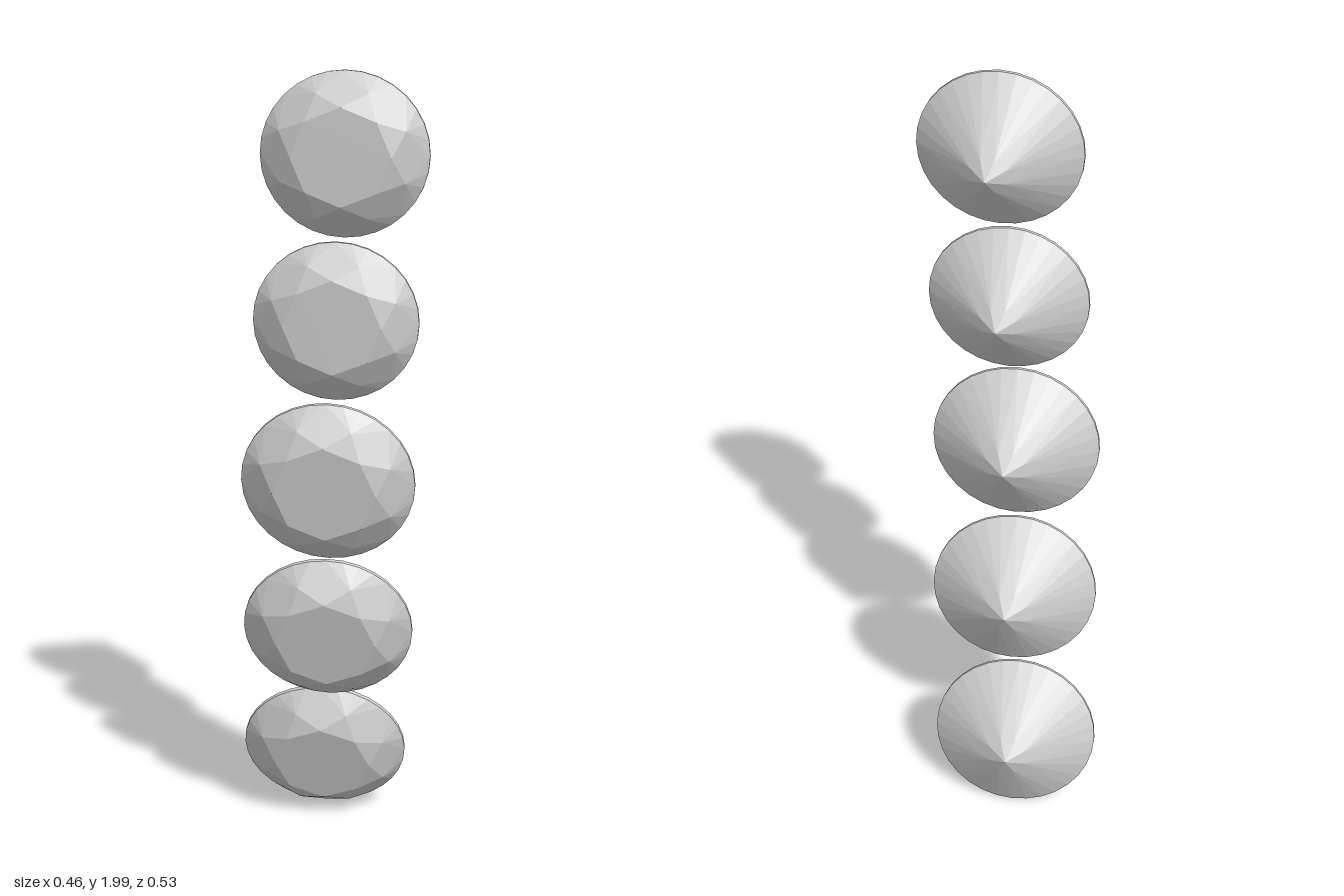
import * as THREE from 'three';
import { ConvexGeometry } from 'three/addons/geometries/ConvexGeometry.js';

// Brilliant cut of unit girdle radius, table towards +z, point towards -z
function brilliantCut() {
  const points = [];
  const ring = (count, radius, z, turn = 0) => {
    for (let i = 0; i < count; i++) {
      const a = ((i + turn) / count) * Math.PI * 2;
      points.push(new THREE.Vector3(Math.cos(a) * radius, Math.sin(a) * radius, z));
    }
  };
  const table = 0.59, crown = 0.38, girdle = 0.025, pavilion = 0.92;
  const c = Math.cos(Math.PI / 8);
  // Heights that keep the kite-shaped main facets flat
  const starR = 0.8, lowerR = 0.22;
  const starZ = girdle + ((crown - girdle) * (1 - starR * c)) / (1 - table);
  const lowerZ = -girdle - (pavilion - girdle) * (1 - lowerR * c);
  ring(8, table, crown);
  ring(8, starR, starZ, 0.5);
  ring(32, 1, girdle);
  ring(32, 1, -girdle);
  ring(8, lowerR, lowerZ, 0.5);
  points.push(new THREE.Vector3(0, 0, -pavilion));
  return new ConvexGeometry(points);
}

export function createModel() {
  const group = new THREE.Group();
  group.name = 'gemChain';
  const geometry = brilliantCut();
  const material = new THREE.MeshStandardMaterial({ color: 0xcccccc, flatShading: true });

  // Girdle centre, point of the pavilion, girdle radius; top to bottom
  const gems = [
    [[-0.033, 1.81, 0.138], [0.07, 1.81, 0.0], 0.189],
    [[-0.047, 1.42, 0.122], [0.055, 1.425, -0.017], 0.19],
    [[-0.05, 1.015, 0.087], [0.06, 1.04, -0.065], 0.206],
    [[-0.01, 0.598, 0.012], [0.095, 0.645, -0.145], 0.208],
    [[0.046, 0.203, -0.112], [0.15, 0.265, -0.265], 0.208],
  ];
  gems.forEach(([centre, point, radius], i) => {
    const gem = new THREE.Mesh(geometry, material);
    gem.name = `gem${i + 1}`;
    gem.position.set(...centre);
    // The table faces directly away from the point
    gem.lookAt(gem.position.clone().multiplyScalar(2).sub(new THREE.Vector3(...point)));
    gem.scale.set(radius * 1.04, radius, radius);
    group.add(gem);
  });
  return group;
}
